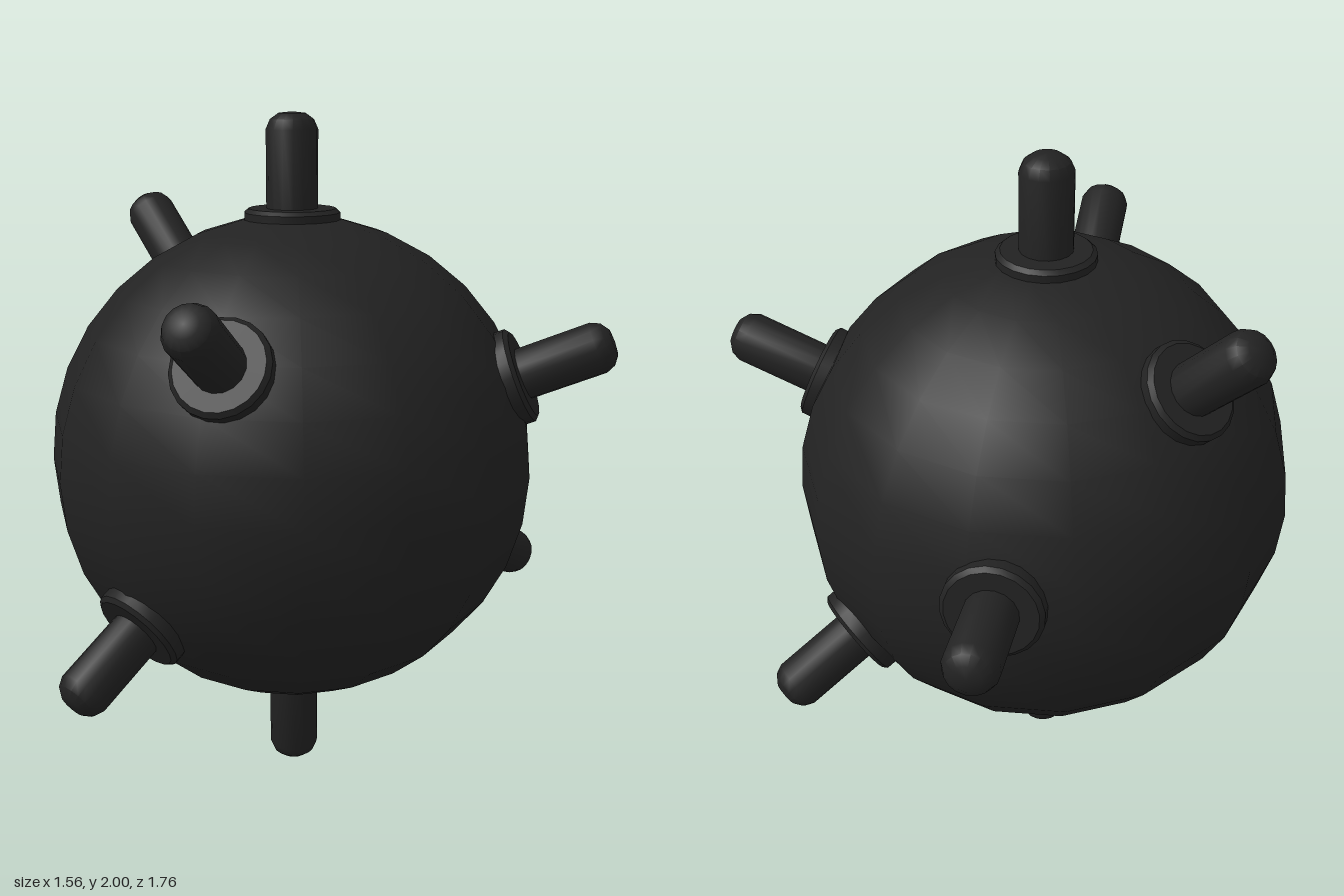
import * as THREE from 'three';
import { toCreasedNormals } from 'three/addons/utils/BufferGeometryUtils.js';

const CENTER = new THREE.Vector3(-0.05, 1, 0);
const UP = new THREE.Vector3(0, 1, 0);

// Outward directions of the horns
const DIRECTIONS = [
  [0, 1, 0],
  [0, -1, 0],
  [-0.703, 0.708, -0.055],
  [0.357, 0.547, 0.757],
  [0.81, 0.388, -0.442],
  [-0.025, -0.527, 0.85],
  [-0.474, 0.103, -0.876],
  [0.303, -0.48, -0.825],
];

// Turned part from [radius, height] pairs, listed upwards
function turned(profile, segments) {
  const points = profile.map(([r, y]) => new THREE.Vector2(r, y));
  return toCreasedNormals(new THREE.LatheGeometry(points, segments), 0.6);
}

export function createModel() {
  const model = new THREE.Group();
  model.name = 'navalMine';
  const material = new THREE.MeshStandardMaterial({ color: 0x222222 });

  // Round hull
  const hull = new THREE.Mesh(new THREE.SphereGeometry(0.715, 16, 16), material);
  hull.name = 'hull';
  hull.position.copy(CENTER);
  model.add(hull);

  // Bevelled collar and round-tipped rod, heights measured from the hull centre
  const collarGeometry = turned(
    [[0.138, 0.67], [0.138, 0.722], [0.125, 0.733], [0, 0.733]], 20);
  const rodGeometry = turned(
    [[0.074, 0.66], [0.074, 0.952], [0.062, 0.979], [0.038, 0.996], [0, 1]], 16);

  DIRECTIONS.forEach((d) => {
    const horn = new THREE.Group();
    horn.name = 'horn';
    const collar = new THREE.Mesh(collarGeometry, material);
    collar.name = 'hornCollar';
    const rod = new THREE.Mesh(rodGeometry, material);
    rod.name = 'hornRod';
    horn.add(collar, rod);
    horn.position.copy(CENTER);
    horn.quaternion.setFromUnitVectors(UP, new THREE.Vector3(...d).normalize());
    model.add(horn);
  });

  return model;
}
